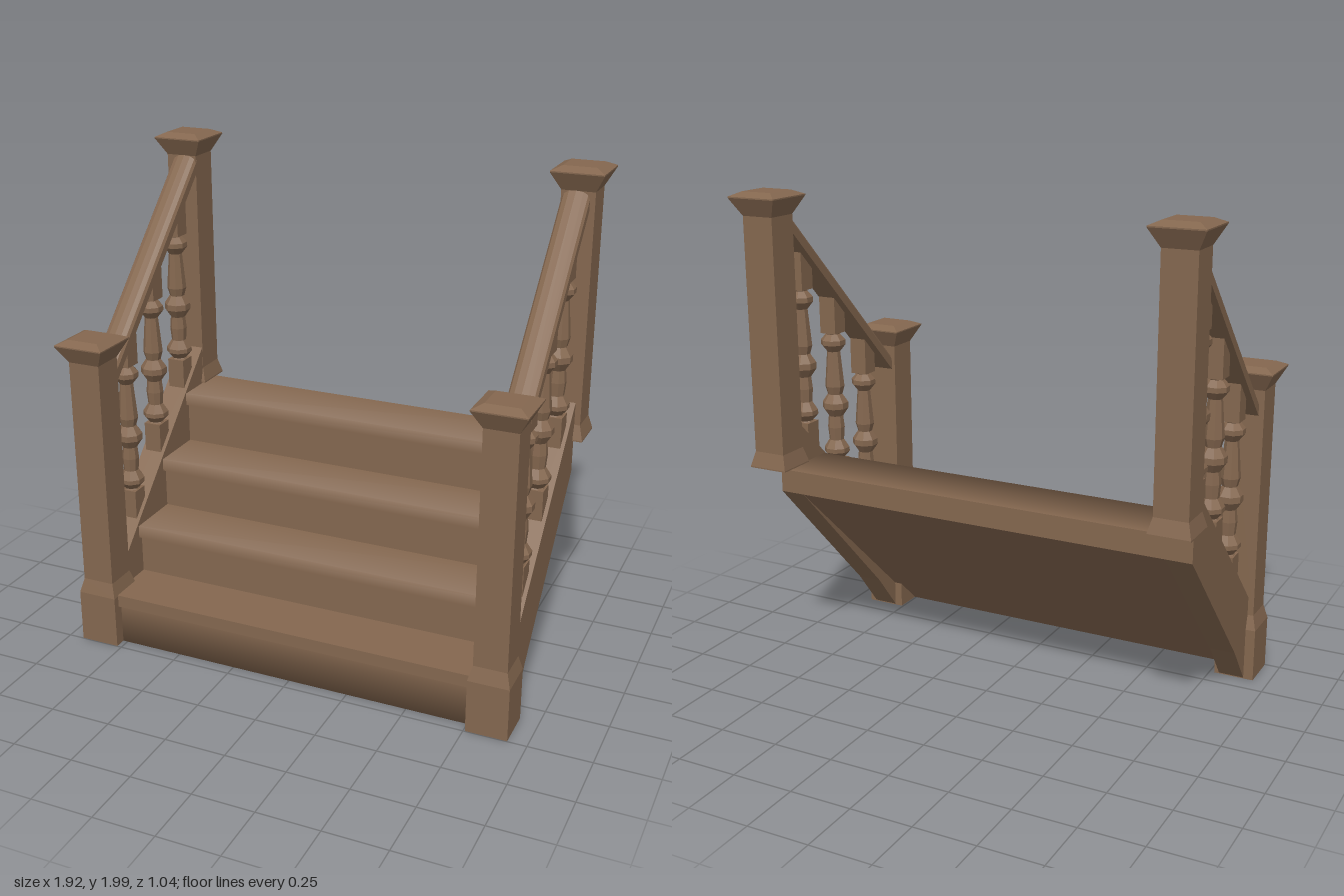
import * as THREE from 'three';

const wood = new THREE.MeshStandardMaterial({ color: 0x84674f });
wood.name = 'brownWood';

function add(group, name, geometry) {
  const mesh = new THREE.Mesh(geometry, wood);
  mesh.name = name;
  group.add(mesh);
  return mesh;
}

// Faceted lathe from [radius, y] pairs
function facetLathe(profile, sides, spin = 0) {
  const pts = profile.map(([r, y]) => new THREE.Vector2(r, y));
  const g = new THREE.LatheGeometry(pts, sides, spin).toNonIndexed();
  g.computeVertexNormals();
  return g;
}

// Square post from [half width, y] pairs
function squarePost(profile) {
  return facetLathe(profile.map(([h, y]) => [h * Math.SQRT2, y]), 4, Math.PI / 4);
}

// Newel post: flared foot, plain shaft, spreading cap with a bevelled top
function newel(foot, footTop, shaftStart, capStart) {
  return squarePost([
    [0, foot], [0.083, foot], [0.083, footTop], [0.067, shaftStart], [0.067, capStart],
    [0.105, capStart + 0.07], [0.105, capStart + 0.075],
    [0.066, capStart + 0.093], [0, capStart + 0.093],
  ]);
}

// Outline in [z, y] pairs, given depth along x and centred on x = 0
function sideSlab(outline, depth) {
  const shape = new THREE.Shape(outline.map(([z, y]) => new THREE.Vector2(-z, y)));
  const g = new THREE.ExtrudeGeometry(shape, { depth, bevelEnabled: false });
  return g.translate(0, 0, -depth / 2).rotateY(Math.PI / 2);
}

// Board across the stair between two [z, y] edges, with soft edge normals [ny, nz]
function board(from, to, n0, n1, halfWidth = 0.8) {
  const position = [], normal = [];
  const len = Math.hypot(to[0] - from[0], to[1] - from[1]);
  const flat = [(to[0] - from[0]) / len, -(to[1] - from[1]) / len];
  [[from, n0 || flat], [to, n1 || flat]].forEach(([[z, y], [ny, nz]]) => {
    for (const x of [-halfWidth, halfWidth]) {
      position.push(x, y, z);
      normal.push(0, ny, nz);
    }
  });
  const g = new THREE.BufferGeometry();
  g.setAttribute('position', new THREE.Float32BufferAttribute(position, 3));
  g.setAttribute('normal', new THREE.Float32BufferAttribute(normal, 3));
  g.setIndex([0, 2, 1, 1, 2, 3]);
  return g;
}

function buildSteps() {
  const steps = new THREE.Group();
  steps.name = 'steps';
  const fronts = [0.47, 0.25, 0.03, -0.19];
  const tops = [0.235, 0.45, 0.67, 0.895];
  const soft = [0.5, 0.87];
  fronts.forEach((z, i) => {
    const back = i < 3 ? fronts[i + 1] - 0.02 : -0.45;
    const y = tops[i], under = y - 0.052;
    const floor = i ? tops[i - 1] : 0.01;
    const edge = i ? soft : null;
    add(steps, 'tread', board([back, y], [z, y], i ? [1, 0] : null, edge));
    add(steps, 'nosing', board([z, y], [z, under], edge, [0, 1]));
    add(steps, 'nosingUnderside', board([z, under], [z - 0.02, under]));
    add(steps, 'riser', board([z - 0.02, under], [z - 0.02, floor], [0, 1], i ? [0, 1] : [-0.8, 0.6]));
  });
  // Sloping soffit, back face and the overhang of the top landing
  add(steps, 'soffit', board([0.45, 0.01], [-0.35, 0.76]));
  add(steps, 'backFace', board([-0.35, 0.76], [-0.35, 0.887]));
  add(steps, 'landingUnderside', board([-0.35, 0.887], [-0.45, 0.887]));
  add(steps, 'landingEdge', board([-0.45, 0.887], [-0.45, 0.895]));
  return steps;
}

// Handrail: rounded top section swept along the slope
function handrail() {
  const section = [
    [-0.055, -0.075], [0.055, -0.075], [0.055, -0.03], [0.047, -0.014],
    [0.028, -0.003], [0, 0], [-0.028, -0.003], [-0.047, -0.014], [-0.055, -0.03],
  ].map(([x, y]) => new THREE.Vector2(x, y));
  const g = new THREE.ExtrudeGeometry(new THREE.Shape(section), { depth: 0.72, bevelEnabled: false });
  g.translate(0, 0, -0.36);
  // Shear so that the ends stay upright against the posts
  const p = g.attributes.position;
  for (let i = 0; i < p.count; i++) p.setY(i, p.getY(i) + 1.56 - p.getZ(i));
  g.computeVertexNormals();
  return g;
}

// Turned baluster with square ends cut to the slope
function baluster(z, lift) {
  const group = new THREE.Group();
  group.name = 'baluster';
  const h = 0.037;
  const turned = facetLathe([
    [0.036, 0.595], [0.03, 0.605], [0.054, 0.632], [0.054, 0.65], [0.031, 0.685],
    [0.036, 0.74], [0.031, 0.79], [0.055, 0.825], [0.055, 0.85], [0.031, 0.885],
    [0.041, 0.92], [0.028, 1.07], [0.052, 1.1], [0.052, 1.12], [0.03, 1.145], [0.036, 1.155],
  ], 8, Math.PI / 8);
  add(group, 'turnedShaft', turned);
  add(group, 'lowerBlock', sideSlab([[h, 0.46], [h, 0.6], [-h, 0.6], [-h, 0.53]], 2 * h));
  add(group, 'upperBlock', sideSlab([[h, 1.15], [h, 1.23], [-h, 1.305], [-h, 1.15]], 2 * h));
  group.position.set(0, lift, z);
  return group;
}

export function createModel() {
  const model = new THREE.Group();
  model.name = 'staircase';
  model.add(buildSteps());

  for (const side of [-1, 1]) {
    const flank = new THREE.Group();
    flank.name = side > 0 ? 'leftBalustrade' : 'rightBalustrade';

    // Newel posts
    const front = add(flank, 'frontPost', newel(0.01, 0.23, 0.29, 1.24));
    front.position.set(side > 0 ? 0.84 : -0.853, 0, 0.415);
    const back = add(flank, 'backPost', newel(0.9, 0.905, 0.965, 1.907));
    back.position.set(side > 0 ? 0.852 : -0.856, 0, -0.415);

    // Stringer, handrail and balusters share one centre line
    const run = new THREE.Group();
    run.name = 'railRun';
    run.position.x = side * 0.843;
    add(run, 'stringer', sideSlab(
      [[0.36, 0.355], [0.35, 0.01], [0.335, 0.01], [0.2, 0.18], [-0.35, 0.76], [-0.35, 1.06]], 0.105));
    add(run, 'handrail', handrail());
    for (let i = 0; i < 3; i++) run.add(baluster(0.2 - 0.22 * i, 0.22 * i));
    flank.add(run);
    model.add(flank);
  }
  return model;
}
